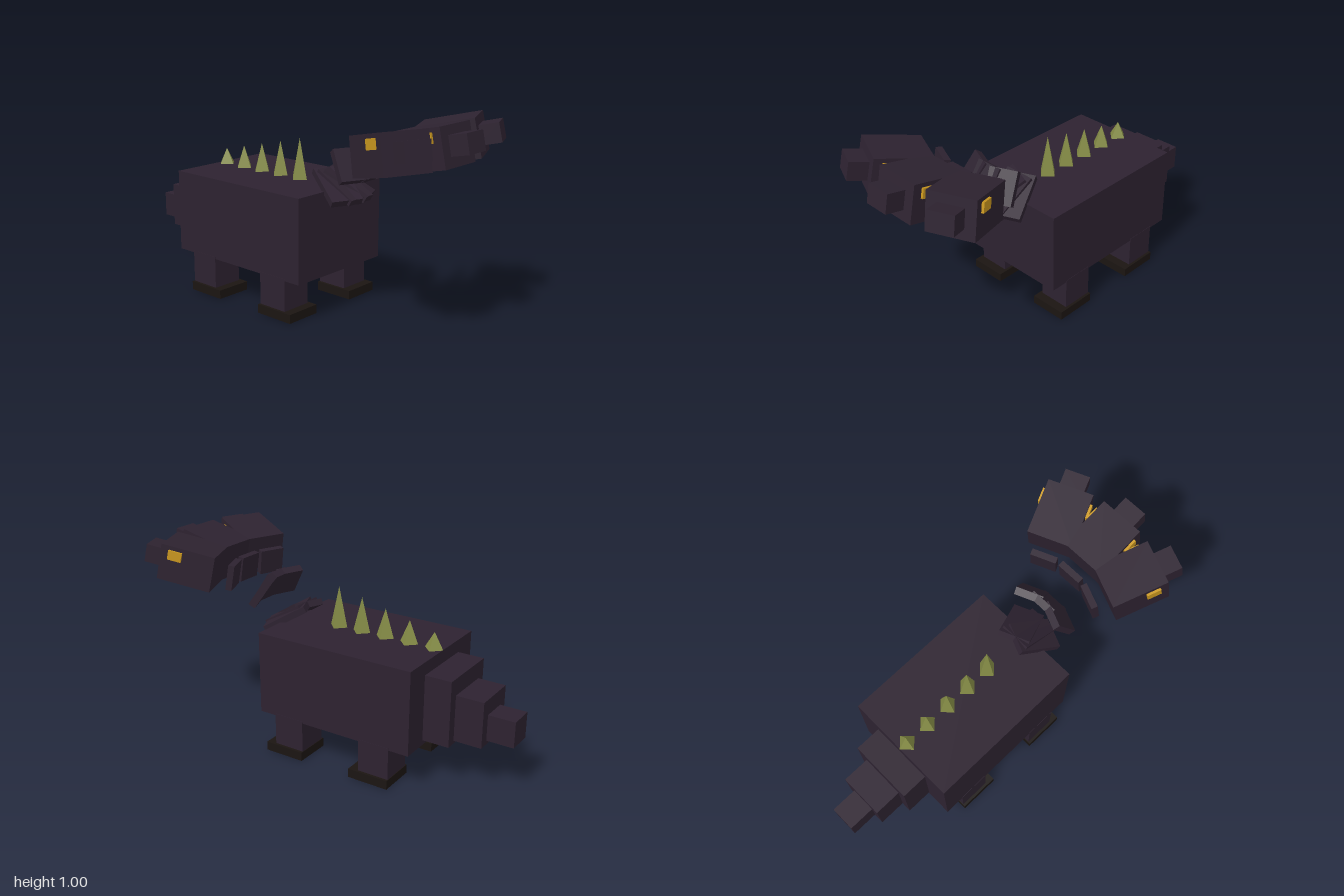
import * as THREE from 'three';

const mat = (color) => new THREE.MeshStandardMaterial({ color, flatShading: true });

export function createModel() {
  const model = new THREE.Group();
  const hide = mat(0x2d2230);
  const claw = mat(0x1b1512);
  const olive = mat(0x858c46);
  const amber = mat(0xc8961e);

  function box(parent, name, material, size, pos, pitch = 0) {
    const m = new THREE.Mesh(new THREE.BoxGeometry(...size), material);
    m.name = name;
    m.position.set(...pos);
    m.rotation.z = pitch;
    parent.add(m);
    return m;
  }

  // Body and belly plate
  box(model, 'body', hide, [0.845, 0.42, 0.6], [-0.1675, 0.41, 0]);
  box(model, 'belly', olive, [0.75, 0.02, 0.53], [-0.1675, 0.204, 0]);

  // Stepped tail: [x from, x to, y from, y to, half width]
  [
    [-0.725, -0.59, 0.225, 0.555, 0.165],
    [-0.865, -0.725, 0.24, 0.47, 0.115],
    [-1.0, -0.865, 0.26, 0.39, 0.065],
  ].forEach(([x0, x1, y0, y1, w], i) =>
    box(model, `tailSegment${i + 1}`, hide, [x1 - x0, y1 - y0, 2 * w],
      [(x0 + x1) / 2, (y0 + y1) / 2, 0]));

  // Legs and feet
  for (const [end, x] of [['front', 0.083], ['back', -0.405]]) {
    for (const side of [-1, 1]) {
      box(model, `${end}Leg`, hide, [0.163, 0.17, 0.163], [x, 0.125, side * 0.22]);
      box(model, `${end}Foot`, claw, [0.213, 0.045, 0.19], [x + 0.022, 0.0225, side * 0.22]);
    }
  }

  // Spikes along the back, growing towards the front
  for (let i = 0; i < 5; i++) {
    const h = 0.082 + i * 0.031;
    const spike = new THREE.Mesh(new THREE.ConeGeometry(0.048, h, 4), olive);
    spike.name = `backSpike${i + 1}`;
    spike.position.set(-0.545 + i * 0.1325, 0.62 + h / 2, 0);
    model.add(spike);
  }

  // Three fanned necks, each with floating plates and a head
  const pivotX = 0.165;
  [['right', 0.4], ['middle', 0], ['left', -0.4]].forEach(([label, yaw]) => {
    const neck = new THREE.Group();
    neck.name = `${label}Neck`;
    neck.position.x = pivotX;
    neck.rotation.y = yaw;
    model.add(neck);

    // Plates: [x, y, height, thickness, width, pitch]
    [
      [0.275, 0.636, 0.24, 0.033, 0.16, 1.05],
      [0.4, 0.76, 0.165, 0.038, 0.14, 0.6],
      [0.555, 0.83, 0.13, 0.032, 0.13, 0.17],
    ].forEach(([x, y, h, t, w, pitch], i) =>
      box(neck, `neckPlate${i + 1}`, hide, [t, h, w], [x - pivotX, y, 0], pitch));

    // Head with snout and eyes
    const head = new THREE.Group();
    head.name = `${label}Head`;
    head.position.set(0.765 - pivotX, 0.885, 0);
    head.rotation.z = 0.218;
    neck.add(head);
    box(head, 'skull', hide, [0.277, 0.184, 0.23], [0, 0, 0]);
    box(head, 'snout', hide, [0.11, 0.092, 0.126], [0.176, 0.003, 0]);
    for (const side of [-1, 1])
      box(head, 'eye', amber, [0.07, 0.048, 0.024], [0.062, 0.048, side * 0.115]);
  });

  return model;
}
